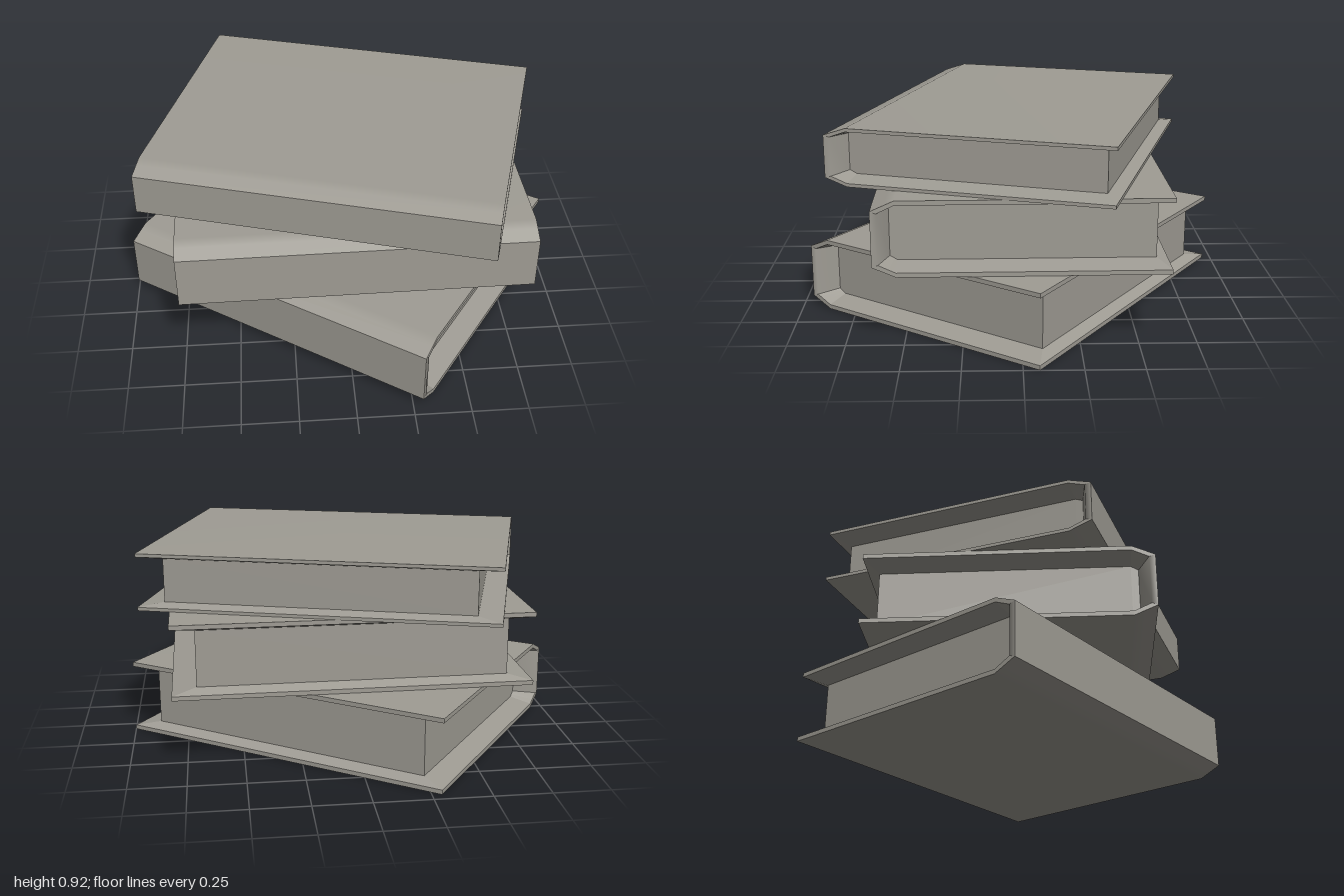
import * as THREE from 'three';
import { mergeGeometries, mergeVertices } from 'three/addons/utils/BufferGeometryUtils.js';

const HALF_LENGTH = 0.784, HALF_WIDTH = 0.622; // spine runs along x at +z
const PAGE_INSET = 0.105;

// Mesh from groups of quads; quads within one group shade smoothly together
function quadMesh(name, groups, material) {
  const parts = groups.map((quads) => {
    const points = quads.flatMap(([a, b, c, d]) => [a, b, c, a, c, d]);
    const part = mergeVertices(new THREE.BufferGeometry().setFromPoints(points));
    part.computeVertexNormals();
    return part;
  });
  const mesh = new THREE.Mesh(mergeGeometries(parts), material);
  mesh.name = name;
  return mesh;
}

// C-shaped section, from the lower fore edge round the spine to the upper fore edge
function section(h, fore, bevelZ, spineZ, y, bevelY) {
  const mid = [THREE.MathUtils.lerp(bevelZ, spineZ, 0.4), THREE.MathUtils.lerp(y, bevelY, 0.4)];
  const lower = [[fore, y], [bevelZ, y], mid, [spineZ, bevelY]];
  const upper = lower.map(([z, py]) => [z, h - py]).reverse();
  return [...lower, ...upper];
}

function createBook(name, h, material) {
  const W = HALF_WIDTH, L = HALF_LENGTH, P = L - PAGE_INSET;
  const outer = section(h, -W, W - 0.1, W, 0, 0.135 * h);
  const inner = section(h, -W, W - 0.1, W - 0.027, 0.06 * h, 0.165 * h);
  const pages = section(h, -W + 0.055, W - 0.1, W - 0.068, 0.12 * h, 0.18 * h);
  const at = (x, [z, y]) => new THREE.Vector3(x, y, z);
  const last = outer.length - 1, spine = 3;
  const cover = [], block = [];

  // Outside of the lower board, spine and upper board
  const outside = outer.slice(0, last).map((p, i) => [at(-L, p), at(L, p), at(L, outer[i + 1]), at(-L, outer[i + 1])]);
  cover.push(outside.slice(0, spine), [outside[spine]], outside.slice(spine + 1));

  // Rim and sloping inner lip at both ends, blended at the spine
  const rings = [[outer, L, inner, L], [inner, L, pages, P]];
  for (const side of [-1, 1]) {
    const facing = (quad) => (side > 0 ? quad.reverse() : quad);
    for (let i = 0; i < last; i++) {
      const band = rings.map(([a, xa, b, xb]) => facing(
        [at(side * xa, a[i]), at(side * xa, a[i + 1]), at(side * xb, b[i + 1]), at(side * xb, b[i])]));
      if (i === spine) cover.push(band);
      else cover.push([band[0]], [band[1]]);
    }
    // End face of the pages
    const bands = [0, 1, 2].map((i) => facing([i, i + 1, last - i - 1, last - i].map((k) => at(side * P, pages[k]))));
    block.push(bands);
  }

  // Rim and lip along the fore edge of both boards
  for (const [a, xa, b, xb] of rings) {
    for (const i of [0, last]) {
      const quad = [at(-xa, a[i]), at(-xb, b[i]), at(xb, b[i]), at(xa, a[i])];
      cover.push([i ? quad.reverse() : quad]);
    }
  }

  // Fore edge of the pages
  block.push([[at(-P, pages[0]), at(-P, pages[last]), at(P, pages[last]), at(P, pages[0])]]);

  const book = new THREE.Group();
  book.name = name;
  book.add(quadMesh('cover', cover, material), quadMesh('pages', block, material));
  return book;
}

export function createModel() {
  const model = new THREE.Group();
  model.name = 'bookStack';
  const material = new THREE.MeshStandardMaterial({ color: 0x9f9c94 });

  // name, height, base y, x, z, turn
  const stack = [
    ['bottomBook', 0.333, 0, 0, -0.002, -0.604],
    ['middleBook', 0.33, 0.334, 0.027, 0.006, 0.013],
    ['topBook', 0.252, 0.663, 0.013, 0.005, -0.291],
  ];
  for (const [name, height, y, x, z, turn] of stack) {
    const book = createBook(name, height, material);
    book.position.set(x, y, z);
    book.rotation.y = turn;
    model.add(book);
  }
  return model;
}
